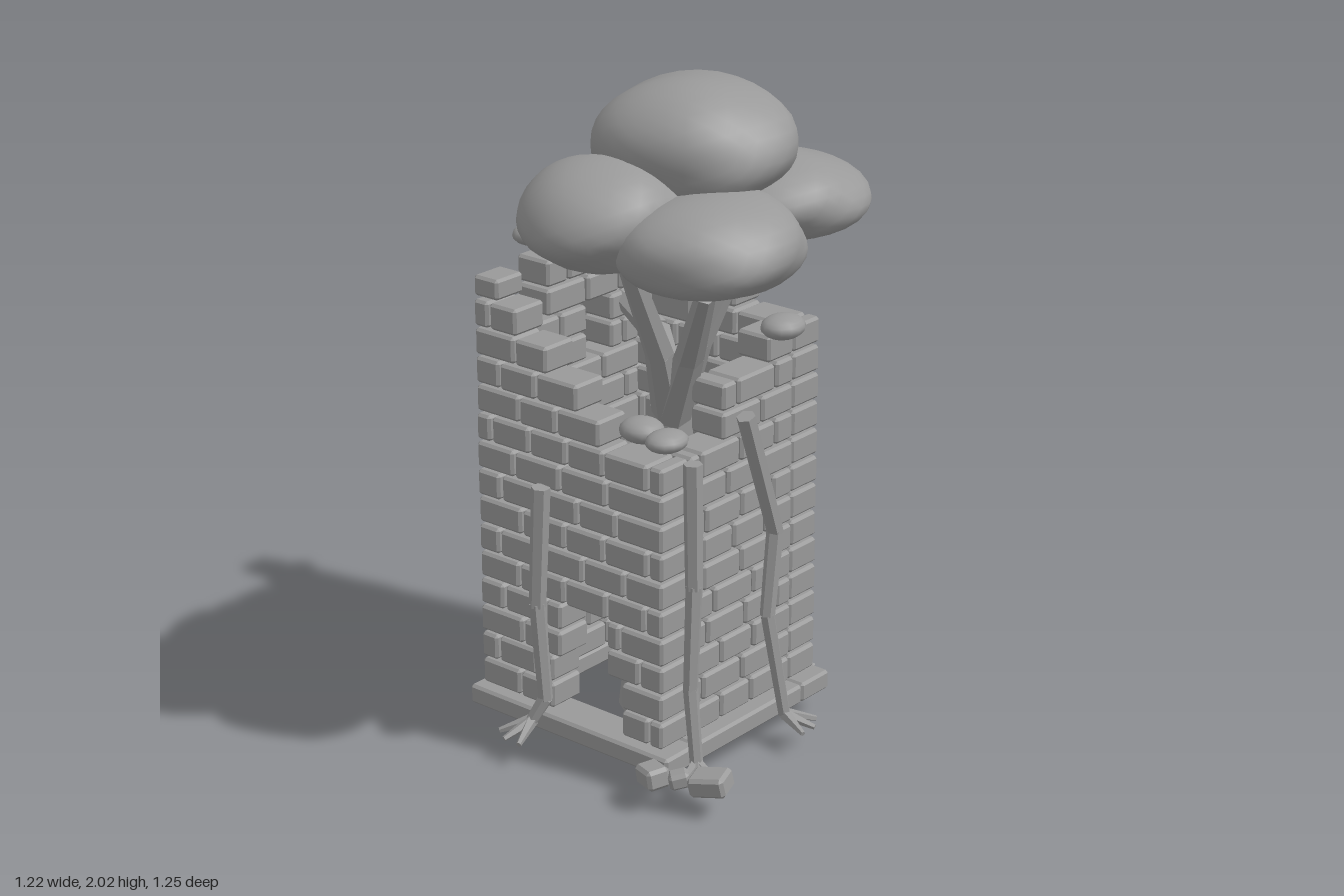
import * as THREE from 'three';
import { mergeGeometries, mergeVertices } from 'three/addons/utils/BufferGeometryUtils.js';
import { ConvexGeometry } from 'three/addons/geometries/ConvexGeometry.js';

const gray = new THREE.MeshStandardMaterial({ color: 0x999999 });
gray.name = 'stone gray';

let seed = 7;
const rand = () => (seed = (seed * 16807) % 2147483647) / 2147483647;
const jitter = (a) => (rand() - 0.5) * 2 * a;

const ROW = 0.085, FLOOR = 0.12, THICK = 0.12;

// Box with chamfered edges and corners
function chamferBox(w, h, d, c = 0.008) {
  const pts = [];
  for (const x of [-1, 1]) for (const y of [-1, 1]) for (const z of [-1, 1]) {
    const X = x * w / 2, Y = y * h / 2, Z = z * d / 2;
    pts.push(
      new THREE.Vector3(X, Y - y * c, Z - z * c),
      new THREE.Vector3(X - x * c, Y, Z - z * c),
      new THREE.Vector3(X - x * c, Y - y * c, Z));
  }
  return new ConvexGeometry(pts);
}

function add(group, name, geometry) {
  const mesh = new THREE.Mesh(geometry, gray);
  mesh.name = name;
  group.add(mesh);
  return mesh;
}

// Solid stretches of one course: the profile gives rows per stretch, holes are cut out
function solidSpans(profile, holes, row) {
  const spans = [];
  for (const [a, b, rows] of profile) {
    if (row >= rows) continue;
    const last = spans[spans.length - 1];
    if (last && Math.abs(last[1] - a) < 1e-6) last[1] = b;
    else spans.push([a, b]);
  }
  return holes.filter((h) => row >= h[2] && row < h[3]).reduce((list, [a, b]) =>
    list.flatMap(([s, e]) => (b <= s || a >= e) ? [[s, e]]
      : [[s, a], [b, e]].filter(([p, q]) => q - p > 0.03)), spans);
}

// Brick wall along x or z, laid in running bond
function wall(axis, offset, profile, holes) {
  const bricks = [], length = 0.155;
  for (let row = 0; row < 18; row++) {
    for (const [s, e] of solidSpans(profile, holes, row)) {
      const joints = [s];
      const shift = (row % 2) * length / 2 + jitter(0.02);
      for (let p = profile[0][0] + shift; p < e - 0.045; p += length + jitter(0.02)) {
        if (p > joints[joints.length - 1] + 0.045) joints.push(p);
      }
      joints.push(e);
      for (let i = 0; i + 1 < joints.length; i++) {
        const l = joints[i + 1] - joints[i] - 0.007, mid = (joints[i] + joints[i + 1]) / 2;
        const y = FLOOR + (row + 0.5) * ROW, depth = THICK + jitter(0.004), h = ROW - 0.008;
        bricks.push(axis === 'x'
          ? chamferBox(l, h, depth).translate(mid, y, offset)
          : chamferBox(depth, h, l).translate(offset, y, mid));
      }
    }
  }
  return mergeGeometries(bricks);
}

// Tapered faceted limb through a few points
function limb(points, r0, r1, sides = 6) {
  const parts = [], n = points.length - 1;
  for (let i = 0; i < n; i++) {
    const a = new THREE.Vector3(...points[i]), b = new THREE.Vector3(...points[i + 1]);
    const dir = b.clone().sub(a), len = dir.length();
    const ra = r0 + (r1 - r0) * i / n, rb = r0 + (r1 - r0) * (i + 1) / n;
    const g = new THREE.CylinderGeometry(rb, ra, len + (i < n - 1 ? rb * 0.4 : 0), sides).toNonIndexed();
    g.computeVertexNormals();
    g.applyQuaternion(new THREE.Quaternion().setFromUnitVectors(new THREE.Vector3(0, 1, 0), dir.normalize()));
    parts.push(g.translate(...a.add(b).multiplyScalar(0.5).toArray()));
  }
  return mergeGeometries(parts);
}

// Smooth lumpy crown with a flatter underside
function crown([x, y, z], [rx, ry, rz], phase) {
  let g = new THREE.IcosahedronGeometry(1, 5);
  g.deleteAttribute('uv');
  g.deleteAttribute('normal');
  g = mergeVertices(g, 1e-4);
  const p = g.attributes.position, v = new THREE.Vector3();
  for (let i = 0; i < p.count; i++) {
    v.fromBufferAttribute(p, i);
    const k = 1 + 0.05 * Math.sin(3.1 * v.x + phase) * Math.cos(2.7 * v.z - phase)
      + 0.035 * Math.sin(5 * v.z + 4 * v.y + phase * 2);
    v.multiplyScalar(k);
    if (v.y < 0) v.y *= 0.85;
    p.setXYZ(i, x + v.x * rx, y + v.y * ry, z + v.z * rz);
  }
  g.computeVertexNormals();
  return g;
}

export function createModel() {
  const model = new THREE.Group();

  // Open square plinth
  const plinth = [
    chamferBox(0.75, 0.06, 0.13).translate(-0.105, 0.085, -0.32),
    chamferBox(0.75, 0.06, 0.13).translate(-0.105, 0.085, 0.3),
    chamferBox(0.13, 0.06, 0.49).translate(-0.415, 0.085, -0.01),
    chamferBox(0.13, 0.06, 0.49).translate(0.205, 0.085, -0.01)];
  add(model, 'plinth', mergeGeometries(plinth));

  // Ruined walls: [from, to, rows]; openings: [from, to, first row, end row]
  add(model, 'frontWall', wall('x', 0.28,
    [[-0.455, -0.29, 14], [-0.29, -0.18, 13], [-0.18, -0.07, 12], [-0.07, 0.01, 11], [0.01, 0.235, 10]],
    [[-0.17, 0.08, 0, 2], [-0.14, 0.025, 2, 4]]));
  add(model, 'backWall', wall('x', -0.3,
    [[-0.455, -0.335, 18], [-0.335, -0.15, 17], [-0.15, -0.12, 16], [-0.12, 0.02, 15], [0.02, 0.235, 13]],
    [[-0.02, 0.08, 8, 10]]));
  add(model, 'rightWall', wall('z', -0.395,
    [[-0.24, 0.06, 16], [0.06, 0.16, 15], [0.16, 0.22, 13]], [[-0.11, -0.01, 11, 13]]));
  add(model, 'leftWall', wall('z', 0.175,
    [[-0.24, -0.12, 13], [-0.12, 0.08, 12], [0.08, 0.22, 10]], []));

  // Loose cap stones: x, y, z, width, height, depth
  const caps = [[-0.385, 1.675, -0.3, 0.095, 0.06, 0.11], [-0.21, 1.6, -0.3, 0.095, 0.075, 0.11],
    [-0.41, 1.345, 0.28, 0.09, 0.06, 0.11]];
  for (const [x, y, z, w, h, d] of caps) add(model, 'capStone', chamferBox(w, h, d)).position.set(x, y, z);

  // Tree trunk and branches
  add(model, 'trunk', limb([[-0.11, 0.01, -0.06], [-0.07, 0.45, -0.04], [0, 1.0, 0.02]], 0.125, 0.06));
  const branches = [
    [[0, 0.97, 0.02], [0.05, 1.2, 0.13], [0.1, 1.56, 0.34]],
    [[0, 0.97, 0.02], [0.13, 1.2, 0.1], [0.31, 1.46, 0.25]],
    [[0, 0.97, 0.02], [0.1, 1.22, 0.03], [0.22, 1.56, -0.06]],
    [[0, 0.95, 0], [-0.19, 1.14, -0.14], [-0.36, 1.2, -0.18]]];
  for (const b of branches) add(model, 'branch', limb(b, 0.055, 0.028));

  // Leaf crowns
  add(model, 'topCrown', crown([0.15, 1.82, 0.11], [0.3, 0.18, 0.27], 0.6));
  add(model, 'frontCrown', crown([0.08, 1.665, 0.39], [0.225, 0.16, 0.225], 2));
  add(model, 'sideCrown', crown([0.35, 1.615, 0.28], [0.25, 0.145, 0.27], 3.4));
  add(model, 'backCrown', crown([0.26, 1.655, -0.08], [0.265, 0.13, 0.24], 5));

  // Climbing roots, each ending in three toes spreading outward
  const vines = [
    { path: [[-0.19, 0.81, 0.36], [-0.21, 0.45, 0.36], [-0.19, 0.16, 0.355], [-0.22, 0.09, 0.38]], out: [-0.3, 1] },
    { path: [[0.26, 0.96, 0.24], [0.265, 0.6, 0.24], [0.27, 0.3, 0.26], [0.3, 0.08, 0.27]], out: [0.7, 0.7] },
    { path: [[0.26, 1.03, 0.01], [0.265, 0.65, -0.12], [0.265, 0.4, -0.09], [0.3, 0.08, -0.13]], out: [1, -0.3] },
    { path: [[0.09, 1.17, -0.385], [0.1, 0.7, -0.385], [0.04, 0.35, -0.375], [0.07, 0.08, -0.42]], out: [0.4, -1] },
    { path: [[-0.48, 1.2, -0.14], [-0.485, 0.75, -0.19], [-0.48, 0.35, -0.18], [-0.52, 0.08, -0.22]], out: [-0.8, -0.7] }];
  for (const { path, out } of vines) {
    const foot = path[path.length - 1], heading = Math.atan2(out[1], out[0]);
    const parts = [limb(path, 0.028, 0.019)];
    for (const turn of [-0.6, 0, 0.6]) {
      const a = heading + turn;
      parts.push(limb([foot, [foot[0] + Math.cos(a) * 0.095, 0.055, foot[2] + Math.sin(a) * 0.095]], 0.019, 0.008, 5));
    }
    add(model, 'climbingRoot', mergeGeometries(parts));
  }

  // Fallen rubble: x, z, width, depth, turn
  const rubble = [[-0.55, -0.555, 0.045, 0.07, 0.2], [-0.488, -0.527, 0.06, 0.04, -0.1], [-0.31, -0.56, 0.08, 0.1, 0.7],
    [-0.18, -0.545, 0.08, 0.11, 0.25], [-0.05, -0.43, 0.08, 0.065, -0.3], [0.4, 0.33, 0.11, 0.085, 0.3],
    [0.25, 0.4, 0.09, 0.07, -0.4], [0.32, 0.37, 0.06, 0.05, 0.8]];
  for (const [x, z, w, d, turn] of rubble) {
    const stone = add(model, 'rubble', chamferBox(w, Math.min(0.06, w * 0.8), d, 0.01));
    stone.position.set(x, 0.08, z);
    stone.rotation.set(0.1, turn, 0.15);
  }

  // Moss tufts on the wall tops: position, radii
  const tufts = [[-0.345, 1.62, -0.33, 0.045, 0.042, 0.085], [-0.33, 1.63, -0.27, 0.035, 0.03, 0.05],
    [-0.42, 1.45, 0.13, 0.055, 0.03, 0.055], [-0.38, 1.45, 0.12, 0.04, 0.033, 0.06],
    [0.245, 1.245, -0.17, 0.06, 0.035, 0.07], [0.13, 1.05, 0.3, 0.065, 0.035, 0.06], [0.235, 1.05, 0.32, 0.055, 0.03, 0.065]];
  for (const [x, y, z, rx, ry, rz] of tufts) {
    const tuft = add(model, 'mossTuft', new THREE.SphereGeometry(1, 14, 10));
    tuft.position.set(x, y, z);
    tuft.scale.set(rx, ry, rz);
  }

  return model;
}
